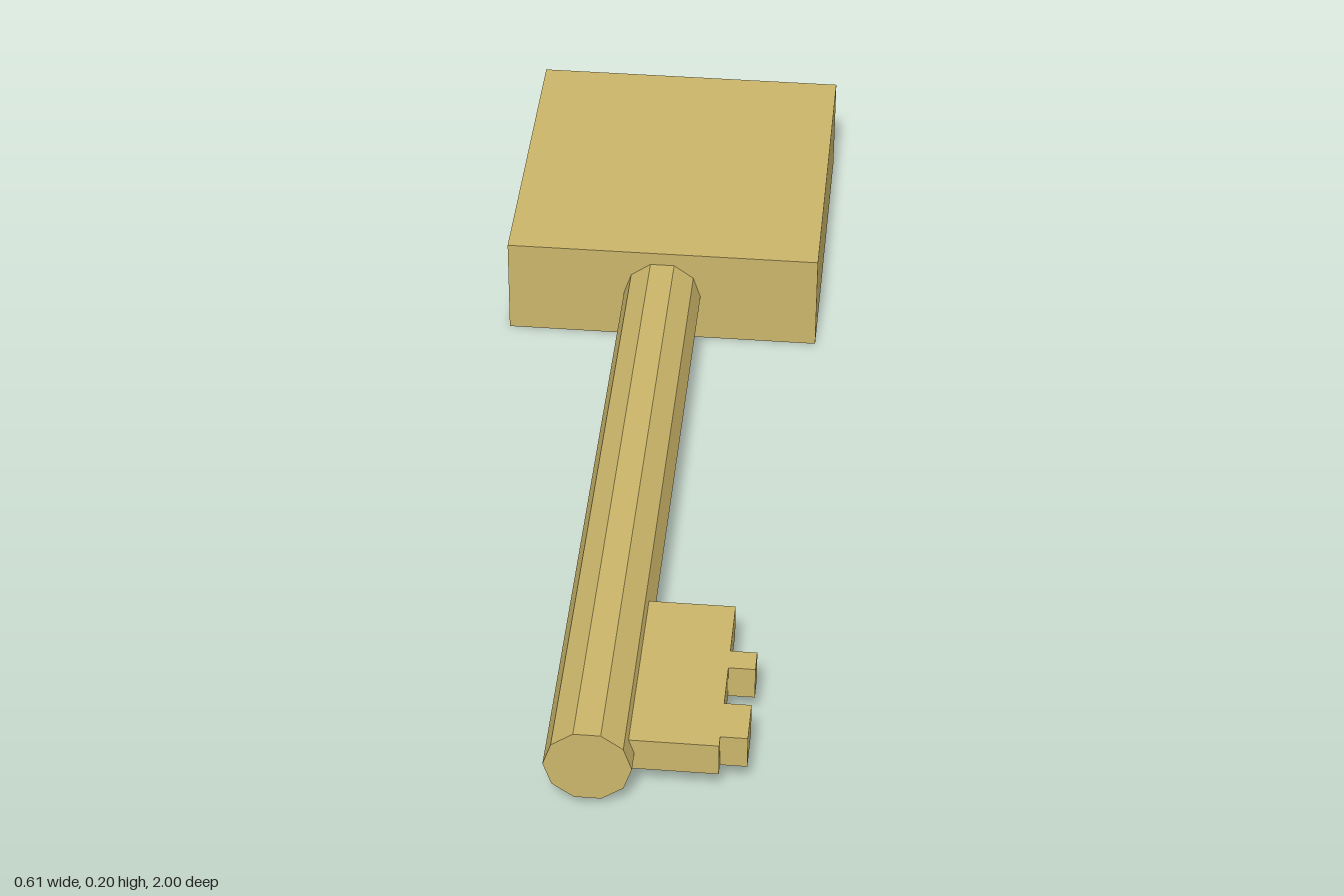
import * as THREE from 'three';

export function createModel() {
  const key = new THREE.Group();
  key.name = 'key';
  const brass = new THREE.MeshStandardMaterial({ color: 0xcab569, flatShading: true });
  brass.name = 'brass';

  const add = (name, geometry, x, y, z) => {
    const mesh = new THREE.Mesh(geometry, brass);
    mesh.name = name;
    mesh.position.set(x, y, z);
    key.add(mesh);
  };

  // Solid block handle at the back
  add('handle', new THREE.BoxGeometry(0.612, 0.198, 0.643), 0, 0.099, -0.6785);

  // Ten-sided shaft running forward along z, corners on the x axis
  const shaft = new THREE.CylinderGeometry(0.076, 0.076, 1.357, 10, 1, false, Math.PI / 2);
  shaft.rotateX(Math.PI / 2);
  add('shaft', shaft, 0, 0.099, 0.3215);

  // Flat bit with two teeth, outlined as [x, z] and extruded upward
  const inner = 0.05, edge = 0.22, tip = 0.267;
  const outline = [
    [inner, 0.96], [edge, 0.96],
    [edge, 0.937], [tip, 0.937], [tip, 0.853], [edge, 0.853],
    [edge, 0.762], [tip, 0.762], [tip, 0.718], [edge, 0.718],
    [edge, 0.6], [inner, 0.6],
  ];
  const shape = new THREE.Shape(outline.map(([x, z]) => new THREE.Vector2(x, -z)));
  const bit = new THREE.ExtrudeGeometry(shape, { depth: 0.065, bevelEnabled: false });
  bit.rotateX(-Math.PI / 2);
  add('bit', bit, 0, 0.064, 0);

  return key;
}
